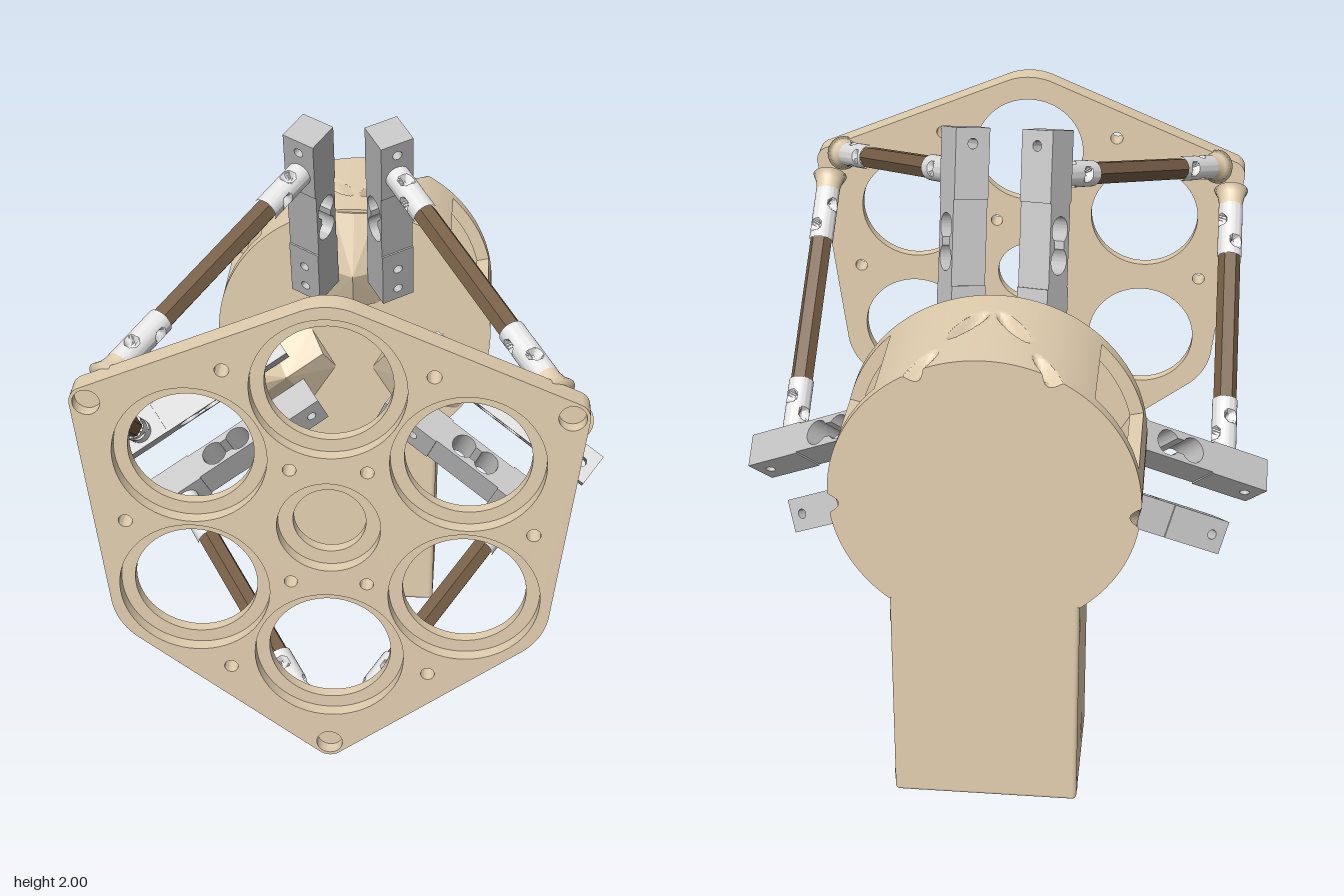
import * as THREE from 'three';
import { toCreasedNormals } from 'three/addons/utils/BufferGeometryUtils.js';
import { RoundedBoxGeometry } from 'three/addons/geometries/RoundedBoxGeometry.js';
import { ConvexGeometry } from 'three/addons/geometries/ConvexGeometry.js';
import { ParametricGeometry } from 'three/addons/geometries/ParametricGeometry.js';

const RAD = Math.PI / 180;
const material = (name, color, side = THREE.FrontSide) => {
  const m = new THREE.MeshStandardMaterial({ color, side });
  m.name = name;
  return m;
};

export function createModel() {
  const tan = material('tan', 0xe3cfb0, THREE.DoubleSide);
  const grey = material('grey', 0xc3c3c3);
  const pale = material('paleGrey', 0xe6e6e6);
  const brown = material('brown', 0x775f47);

  const model = new THREE.Group();
  const hub = new THREE.Group(); // everything round the main axis
  hub.name = 'hub';
  hub.position.y = 1.1;
  model.add(hub);

  const add = (parent, name, geo, mat, x = 0, y = 0, z = 0) => {
    const mesh = new THREE.Mesh(geo, mat);
    mesh.name = name;
    mesh.position.set(x, y, z);
    parent.add(mesh);
    return mesh;
  };
  const polar = (r, deg) => new THREE.Vector2(r * Math.cos(deg * RAD), r * Math.sin(deg * RAD));
  const extrude = (shape, depth) => toCreasedNormals(
    new THREE.ExtrudeGeometry(shape, { depth, bevelEnabled: false, curveSegments: 32 }), 0.5);
  const circle = (x, y, r) => new THREE.Path().absarc(x, y, r, 0, Math.PI * 2, true);

  // Front plate: rounded outline wrapped round three sharp and three blunt corners
  const corners = [];
  for (let k = 0; k < 3; k++) {
    corners.push({ c: polar(0.8, 30 + 120 * k), r: 0.05 });
    corners.push({ c: polar(0.53, 90 + 120 * k), r: 0.2 });
  }
  const outline = [];
  for (let t = 0; t < 360; t += 2) {
    const n = polar(1, t);
    let best = corners[0];
    for (const q of corners) if (q.c.dot(n) + q.r > best.c.dot(n) + best.r) best = q;
    outline.push(best.c.clone().addScaledVector(n, best.r));
  }
  const plateLayer = (name, z, depth, bigR, centreR, cornerR) => {
    const shape = new THREE.Shape(outline);
    const hole = (r, deg, radius) => {
      const p = polar(r, deg);
      shape.holes.push(circle(p.x, p.y, radius));
    };
    hole(0, 0, centreR);
    for (let k = 0; k < 6; k++) {
      hole(0.465, 30 + 60 * k, bigR);
      hole(0.6, 60 * k, 0.021);
      if (k % 3) hole(0.226, 60 * k, 0.02);
      if (cornerR && k % 2 === 0) hole(0.8, 30 + 60 * k, cornerR);
    }
    add(hub, name, extrude(shape, depth), tan, 0, 0, z);
  };
  plateLayer('plateBack', 0.735, 0.035, 0.185, 0.108, 0);
  plateLayer('plateFront', 0.77, 0.04, 0.226, 0.153, 0.04);

  // Round housing: end discs, curved walls with bolt dimples, three windows
  const R = 0.463, FRONT = -0.39, BACK = -0.81;
  const disc = (name, z) => add(hub, name,
    new THREE.CylinderGeometry(0.432, 0.432, 0.02, 64).rotateX(Math.PI / 2), tan, 0, 0, z);
  disc('housingFront', FRONT - 0.01);
  disc('housingBack', BACK + 0.01);

  const dent = (deg, z) => {
    let depth = 0;
    for (const sector of [90, 210, 330]) {
      const off = ((deg - sector + 540) % 360 - 180) * RAD * R;
      for (const [u0, z0] of [[0.068, -0.578], [0.195, -0.79]]) {
        const du = Math.abs(off) - u0, dz = z - z0;
        const along = (dz * 0.82 - du * 0.57) / 0.095;
        const across = (dz * 0.57 + du * 0.82) / 0.028;
        depth = Math.max(depth, 0.034 * (1 - along * along - across * across));
      }
    }
    return depth;
  };
  const wall = (from, to) => {
    const geo = new ParametricGeometry((u, v, out) => {
      const deg = from + (to - from) * u;
      const z = BACK + (FRONT - BACK) * THREE.MathUtils.clamp((v - 0.05) / 0.9, 0, 1);
      const rim = Math.min(1, v / 0.05, (1 - v) / 0.05);
      const p = polar(0.42 + (R - dent(deg, z) - 0.42) * rim, deg);
      out.set(p.x, p.y, z);
    }, Math.round((to - from) * 1.6), 80);
    add(hub, 'housingWall', toCreasedNormals(geo, 0.9), tan);
  };
  wall(48, 132);
  wall(168, 240);
  wall(300, 372);

  const ringArc = (from, to, z0, z1) => {
    const s = new THREE.Shape();
    s.absarc(0, 0, R, from * RAD, to * RAD, false);
    s.absarc(0, 0, 0.42, to * RAD, from * RAD, true);
    add(hub, 'windowFrame', extrude(s, z1 - z0), tan, 0, 0, z0);
  };
  ringArc(240, 300, BACK, FRONT);
  for (const a of [12, 132]) {
    ringArc(a, a + 36, BACK, -0.77);
    ringArc(a, a + 36, -0.435, FRONT);
    ringArc(a, a + 1.5, BACK, FRONT);
    ringArc(a + 34.5, a + 36, BACK, FRONT);
  }

  // Solid wedge between two windows; the gaps between wedges form the pockets
  const core = new THREE.Shape();
  core.moveTo(0, 0.118);
  core.absarc(0, 0, 0.422, 48 * RAD, 132 * RAD, false);
  core.closePath();
  const coreGeo = extrude(core, 0.38).translate(0, 0, -0.79);

  // Column under the housing, with its cable slot and small side slots
  add(model, 'column', new RoundedBoxGeometry(0.576, 0.76, 0.42, 3, 0.015), tan, 0, 0.38, -0.6);
  add(model, 'cableSlot', new THREE.CapsuleGeometry(0.022, 0.07, 4, 16).scale(0.15, 1, 1),
    pale, -0.286, 0.14, -0.6);
  for (const x of [-0.288, 0.288]) for (const y of [0.05, 0.66])
    add(model, 'sideSlot', new THREE.BoxGeometry(0.004, 0.04, 0.014), pale, x, y, -0.785);

  // Load cell: a slimmer middle with a double bore, and two drilled end blocks
  const bore = new THREE.Path();
  bore.absarc(0.047, 0, 0.042, -145 * RAD, 145 * RAD, false);
  bore.absarc(-0.047, 0, 0.042, 35 * RAD, 325 * RAD, false);
  bore.closePath();
  const rect = (x0, x1, h) => new THREE.Shape(
    [[x0, -h], [x1, -h], [x1, h], [x0, h]].map(p => new THREE.Vector2(...p)));
  const middle = rect(-0.13, 0.13, 0.051);
  middle.holes.push(bore);
  const middleGeo = extrude(middle, 0.112).translate(0, 0, -0.056);
  const endBlock = (x0, x1, holes) => {
    const s = rect(x0, x1, 0.056);
    for (const x of holes) s.holes.push(circle(x, 0, 0.016));
    return extrude(s, 0.112).translate(0, 0, -0.056).rotateX(Math.PI / 2);
  };
  const topGeo = endBlock(0.13, 0.348, [0.3]);
  const footGeo = endBlock(-0.348, -0.13, [-0.3, -0.21]);

  // Strut sleeve with cross holes sunk into it; each hole is [height, angle]
  const sleeve = (from, to, holes) => toCreasedNormals(new ParametricGeometry((u, v, out) => {
    const phi = u * Math.PI * 2, y = from + (to - from) * v;
    let r = 0.041;
    for (const [t, deg] of holes) {
      const q = Math.hypot(y - t, 0.041 * Math.sin(phi - deg * RAD)) / 0.022;
      r = Math.min(r, 0.041 - 0.026 * Math.min(1, Math.max(0, 3 * (1 - q * q))));
    }
    out.set(r * Math.sin(phi), y, r * Math.cos(phi));
  }, 40, 30), 0.7);
  const innerSleeve = sleeve(-0.01, 0.19, [[0.06, 90], [0.12, 0]]);
  const outerSleeve = sleeve(0.725, 0.925, [[0.775, 0], [0.86, 90]]);
  const hexRod = toCreasedNormals(new THREE.CylinderGeometry(0.038, 0.038, 0.56, 6), 0.3);
  const flare = new THREE.LatheGeometry(
    [[0.041, 0.915], [0.041, 0.94], [0.046, 0.965], [0.058, 0.99], [0, 1]]
      .map(p => new THREE.Vector2(...p)), 24);

  // One load cell with its strut; local x runs along the bar, y along the strut
  const limb = (parent, side) => {
    const tilt = 20 * RAD, turn = 30 * RAD;
    const a = new THREE.Vector3(0, Math.cos(tilt), Math.sin(tilt));
    const d = new THREE.Vector3(side * Math.sin(turn), -Math.sin(tilt) * Math.cos(turn),
      Math.cos(tilt) * Math.cos(turn));
    const g = new THREE.Group();
    g.name = side > 0 ? 'leftLimb' : 'rightLimb';
    g.quaternion.setFromRotationMatrix(
      new THREE.Matrix4().makeBasis(a, d, new THREE.Vector3().crossVectors(a, d)));
    g.position.set(side * 0.125, 0.545, -0.197);
    parent.add(g);

    add(g, 'loadCellMiddle', middleGeo, grey);
    add(g, 'loadCellTop', topGeo, grey);
    add(g, 'loadCellFoot', footGeo, grey);

    const strut = new THREE.Group();
    strut.name = 'strut';
    strut.position.set(0.21, 0.056, 0);
    g.add(strut);
    add(strut, 'innerSleeve', innerSleeve, pale);
    add(strut, 'hexRod', hexRod, brown, 0, 0.46, 0);
    add(strut, 'outerSleeve', outerSleeve, pale);
    add(strut, 'cornerBoss', flare, tan);
  };

  // Three sectors, each a housing core and wedge mount carrying a mirrored pair of limbs
  const wedge = [[0, 0.12, -0.345], [0, 0.26, -0.293], [0, 0.455, -0.375]];
  for (const x of [-1, 1]) {
    wedge.push([x * 0.09, 0.12, -0.395], [x * 0.16, 0.26, -0.392], [x * 0.07, 0.45, -0.392]);
    wedge.push([x * 0.09, 0.12, -0.405], [x * 0.17, 0.26, -0.405], [x * 0.07, 0.45, -0.405]);
  }
  const wedgeGeo = new ConvexGeometry(wedge.map(p => new THREE.Vector3(...p)));
  for (let k = 0; k < 3; k++) {
    const sector = new THREE.Group();
    sector.name = 'sector' + (k + 1);
    sector.rotation.z = 120 * k * RAD;
    hub.add(sector);
    add(sector, 'housingCore', coreGeo, tan);
    add(sector, 'wedgeMount', wedgeGeo, tan);
    limb(sector, 1);
    limb(sector, -1);
  }
  return model;
}
